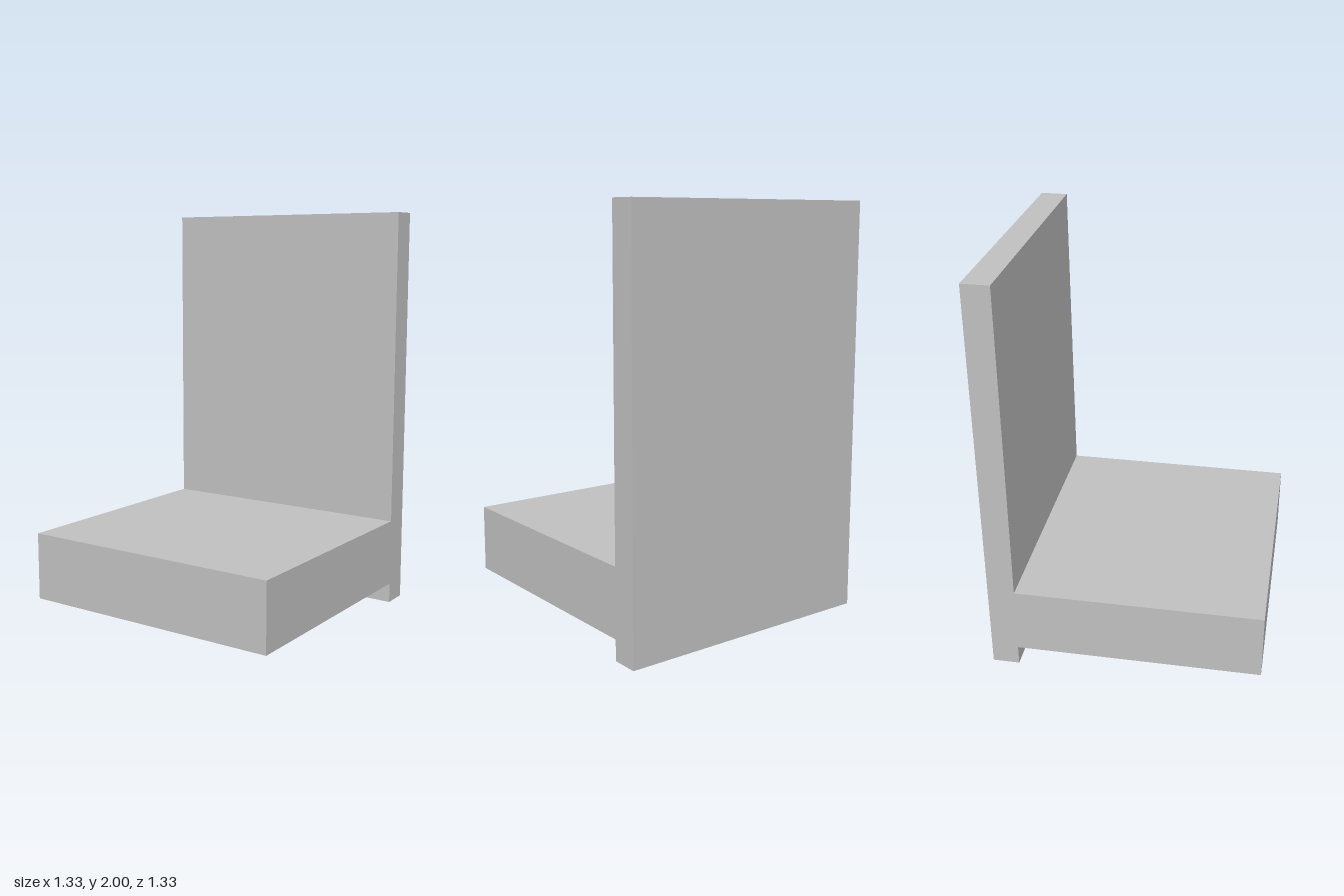
import * as THREE from 'three';

const WIDTH = 1.333;
const FRONT = 0.667, BACK = -0.667;   // z extents
const BACKREST_FRONT = -0.535;        // front face of the upright panel
const SEAT_BOTTOM = 0.1, SEAT_TOP = 0.433, HEIGHT = 2;

export function createModel() {
  const group = new THREE.Group();
  group.name = 'chair';

  const grey = new THREE.MeshStandardMaterial({ color: 0xbfbfbf });
  grey.name = 'light grey';

  // Side profile (z, y): thick seat slab joined to a thin upright backrest
  const profile = new THREE.Shape([
    [BACK, 0], [BACKREST_FRONT, 0],
    [BACKREST_FRONT, SEAT_BOTTOM], [FRONT, SEAT_BOTTOM],
    [FRONT, SEAT_TOP], [BACKREST_FRONT, SEAT_TOP],
    [BACKREST_FRONT, HEIGHT], [BACK, HEIGHT],
  ].map(([z, y]) => new THREE.Vector2(z, y)));

  // Extrude across the width, then turn the profile to face +z
  const geometry = new THREE.ExtrudeGeometry(profile, { depth: WIDTH, bevelEnabled: false });
  geometry.translate(0, 0, -WIDTH / 2);
  geometry.rotateY(-Math.PI / 2);

  const body = new THREE.Mesh(geometry, grey);
  body.name = 'seatAndBackrest';
  group.add(body);
  return group;
}
